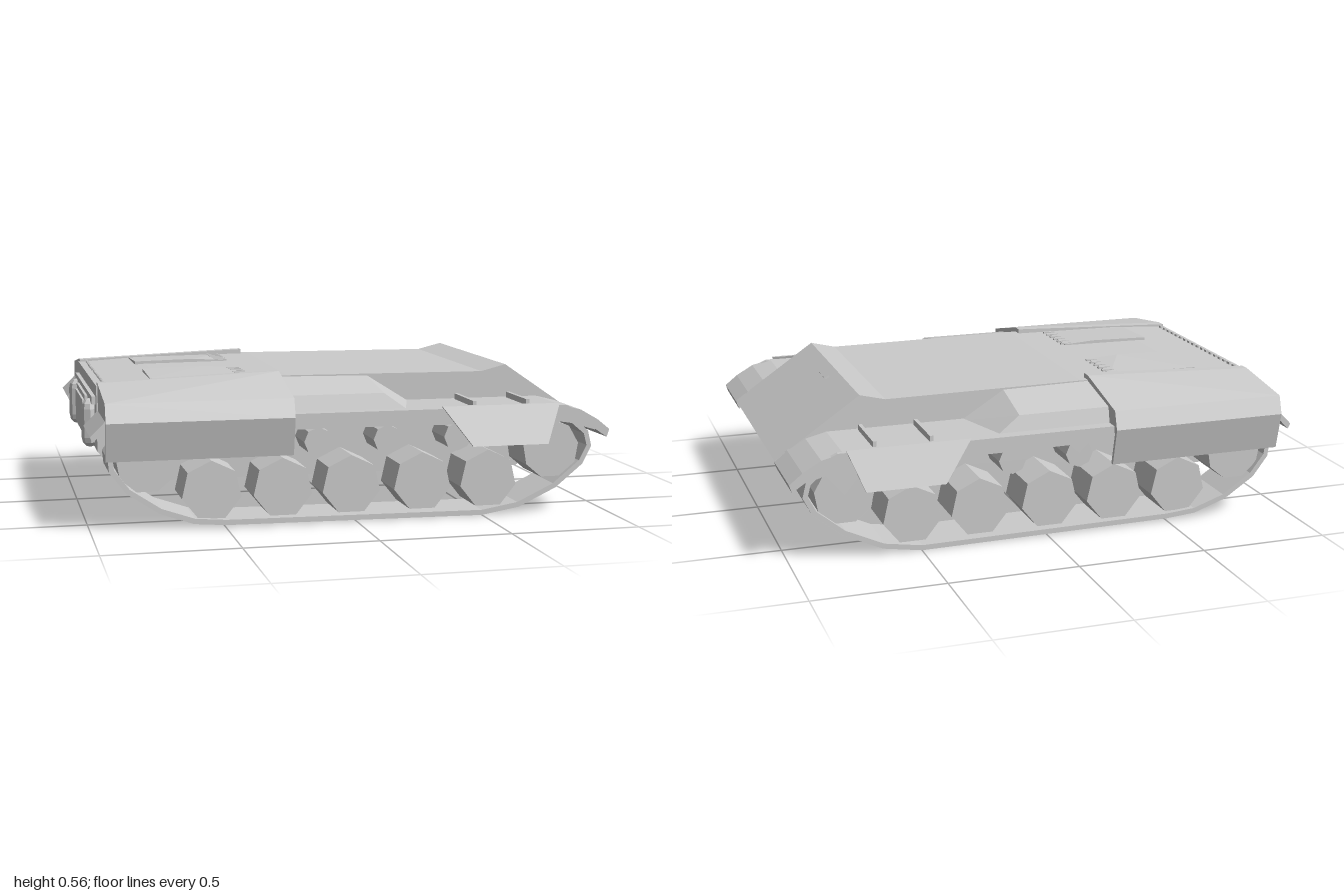
import * as THREE from 'three';
import { ConvexGeometry } from 'three/addons/geometries/ConvexGeometry.js';

const mat = new THREE.MeshStandardMaterial({ color: 0xcccccc, flatShading: true });

export function createModel() {
  const root = new THREE.Group();

  const add = (name, geo, x = 0, y = 0, z = 0) => {
    const m = new THREE.Mesh(geo, mat);
    m.name = name;
    m.position.set(x, y, z);
    root.add(m);
    return m;
  };
  const box = (name, w, h, d, x, y, z) => add(name, new THREE.BoxGeometry(w, h, d), x, y, z);

  // Solid block from corner points, z multiplied by the side sign
  const block = (name, pts, s = 1) =>
    add(name, new ConvexGeometry(pts.map(([x, y, z]) => new THREE.Vector3(x, y, z * s))));

  // Side profile (x, y) extruded between z0 and z1 on side s
  const slab = (name, profile, z0, z1, s = 1, hole) => {
    const shape = new THREE.Shape(profile.map(p => new THREE.Vector2(...p)));
    if (hole) shape.holes.push(new THREE.Path(hole.map(p => new THREE.Vector2(...p))));
    const geo = new THREE.ExtrudeGeometry(shape, { depth: z1 - z0, bevelEnabled: false });
    return add(name, geo, 0, 0, s > 0 ? z0 : -z1);
  };

  // Wheel with its axle along z and one corner at the top
  const wheel = (name, r, sides, width, x, y, z) => {
    const geo = new THREE.CylinderGeometry(r, r, width, sides);
    geo.rotateX(-Math.PI / 2);
    return add(name, geo, x, y, z);
  };

  // Main hull
  slab('hull', [
    [-0.85, 0.15], [0.72, 0.15], [0.97, 0.31], [1.0, 0.335], [0.67, 0.56], [0.57, 0.535],
    [-0.22, 0.54], [-0.7, 0.535], [-0.95, 0.52], [-0.95, 0.27],
  ], -0.43, 0.43);
  const slot = box('glacisSlot', 0.02, 0.012, 0.12, 0.71, 0.536, 0);
  slot.rotation.z = -0.6;

  // Rear plate
  box('rearPanelFrame', 0.03, 0.17, 0.40, -0.96, 0.37, 0);
  box('rearPanel', 0.03, 0.13, 0.35, -0.968, 0.37, 0);
  box('rearBeam', 0.02, 0.03, 0.78, -0.955, 0.46, 0);

  // Louvre rows across the engine deck
  for (let i = 0; i < 18; i++) {
    const z = -0.36 + i * 0.72 / 17;
    box('rearLouvre', 0.008, 0.012, 0.02, -0.92, 0.525, z);
    if (Math.abs(z) > 0.13) box('deckLouvre', 0.05, 0.008, 0.012, -0.38, 0.541, z);
  }

  // Track outline and its inward offset
  const outer = [
    [-0.5, 0.015], [0, 0.01], [0.5, 0.005], [0.65, 0.03], [0.8, 0.1], [0.91, 0.19], [0.945, 0.26],
    [0.93, 0.32], [0.87, 0.37], [0.78, 0.385], [-0.78, 0.385], [-0.88, 0.35], [-0.935, 0.28],
    [-0.93, 0.23], [-0.87, 0.15], [-0.75, 0.07], [-0.62, 0.025],
  ];
  const n = outer.length;
  const inner = outer.map(([x, y], i) => {
    const a = outer[(i + n - 1) % n], b = outer[(i + 1) % n];
    const dx = b[0] - a[0], dy = b[1] - a[1], l = Math.hypot(dx, dy);
    return [x - dy / l * 0.02, y + dx / l * 0.02];
  });

  for (const s of [1, -1]) {
    // Running gear
    slab('track', outer, 0.445, 0.665, s, inner);
    const zc = 0.55 * s;
    for (const x of [-0.55, -0.28, -0.015, 0.265, 0.53]) wheel('roadWheel', 0.115, 7, 0.19, x, 0.142, zc);
    for (const x of [-0.4, -0.14, 0.13, 0.41]) wheel('returnRoller', 0.055, 8, 0.16, x, 0.31, zc);
    wheel('idlerWheel', 0.115, 9, 0.19, 0.785, 0.25, zc);
    wheel('driveSprocket', 0.115, 9, 0.19, -0.79, 0.258, zc);

    // Fender with drooping ends
    slab('fender', [
      [-0.95, 0.39], [0.8, 0.395], [0.87, 0.375], [0.93, 0.34], [0.99, 0.30], [1.0, 0.33],
      [0.95, 0.37], [0.88, 0.41], [0.8, 0.43], [-0.94, 0.43], [-1.0, 0.37], [-0.99, 0.35],
    ], 0.42, 0.708, s);
    slab('fenderLip', [[-0.25, 0.375], [0.82, 0.365], [0.94, 0.33], [0.95, 0.37], [0.82, 0.43], [-0.25, 0.43]],
      0.69, 0.708, s);
    for (const x of [0.46, 0.675]) box('fenderRib', 0.014, 0.025, 0.225, x, 0.44, 0.562 * s);

    // Long rear stowage bin with sloping lid
    block('rearBin', [-0.945, -0.25].flatMap((x, i) => [
      [x, i ? 0.558 : 0.53, 0.39], [x, i ? 0.558 : 0.53, 0.43], [x, 0.49, 0.71],
      [x, 0.42, 0.733], [x, 0.405, 0.72], [x, 0.405, 0.39],
    ]), s);
    block('rearSkirt', [-0.945, -0.25].flatMap(x => [
      [x, 0.42, 0.733], [x, 0.42, 0.718], [x, 0.275, 0.70], [x, 0.275, 0.685],
    ]), s);

    // Low middle bin with sloping nose
    block('middleBin', [
      [-0.25, 0.538, 0.42], [0.1, 0.533, 0.42], [0.28, 0.42, 0.42], [-0.25, 0.41, 0.42],
      [-0.25, 0.49, 0.645], [0.11, 0.49, 0.645], [0.2, 0.425, 0.66], [-0.25, 0.425, 0.66],
    ], s);

    // Hinged front side flap
    block('sideFlap', [
      [0.32, 0.44, 0.70], [0.79, 0.44, 0.70], [0.73, 0.29, 0.748], [0.43, 0.29, 0.748],
      [0.32, 0.44, 0.715], [0.79, 0.44, 0.715], [0.73, 0.29, 0.76], [0.43, 0.29, 0.76],
    ], s);

    // Raised engine deck panel
    block('deckPanel', [
      [-0.74, 0.52, 0.13], [-0.37, 0.53, 0.13], [-0.37, 0.53, 0.37], [-0.74, 0.52, 0.37],
      [-0.74, 0.545, 0.13], [-0.5, 0.55, 0.13], [-0.37, 0.542, 0.13],
      [-0.74, 0.536, 0.37], [-0.37, 0.54, 0.37],
    ], s);

    // Rounded rear canister
    const can = add('rearCanister', new THREE.CapsuleGeometry(0.04, 0.11, 3, 8), -0.967, 0.365, 0.31 * s);
    can.scale.x = 0.8;
  }
  return root;
}
